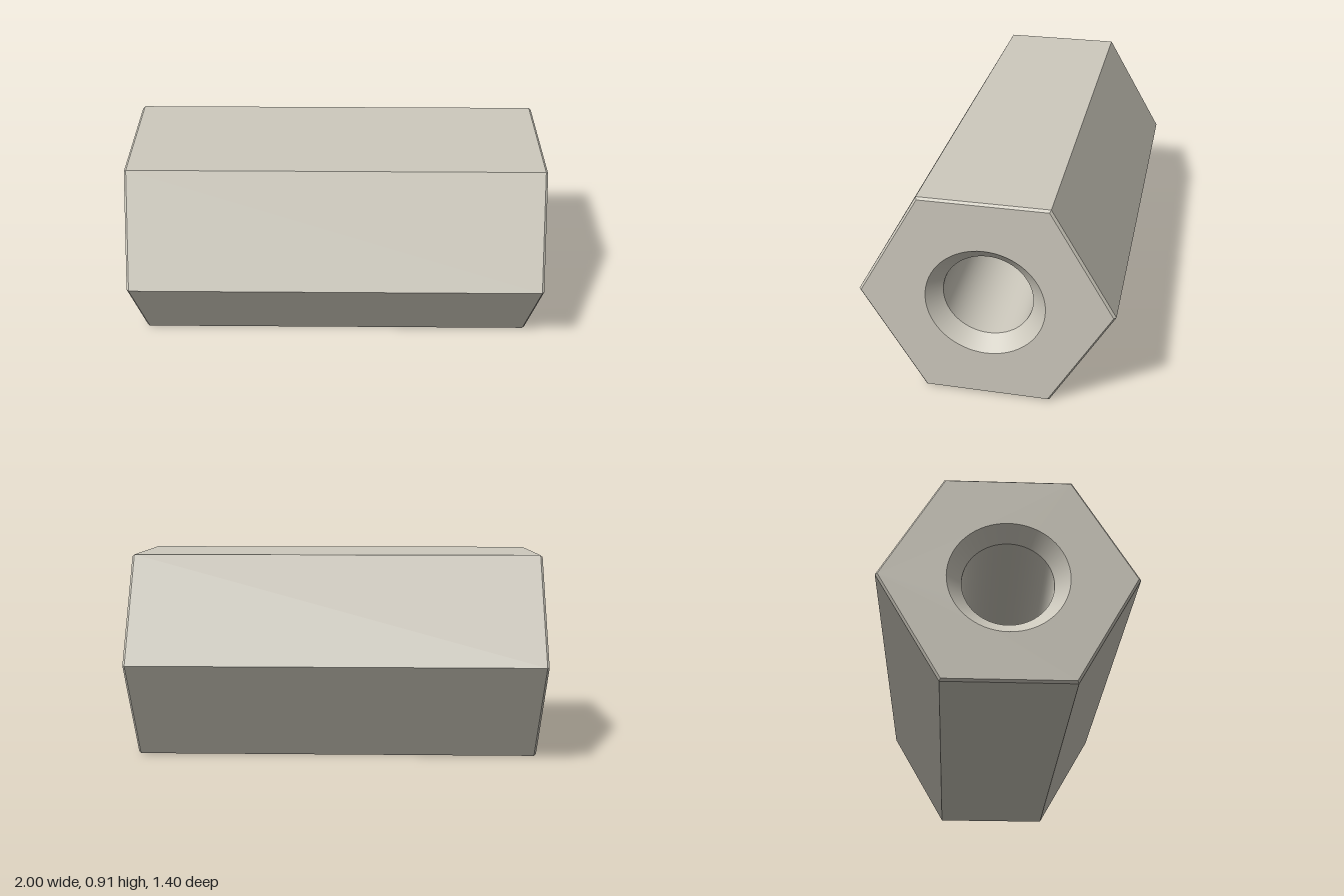
import * as THREE from 'three';

const R = 0.528;        // hexagon corner radius
const HALF = 0.911;     // half length
const CHAMFER = 0.01;   // bevel on the outer end edges
const BORE = 0.187;     // through hole radius
const SINK = 0.247;     // countersink radius at the end face
const DEPTH = 0.06;     // countersink depth

export function createModel() {
  const metal = new THREE.MeshStandardMaterial({ color: 0xcdc9bd });
  metal.name = 'warm grey metal';

  const spacer = new THREE.Group();
  spacer.name = 'hexSpacer';
  const add = (geometry, name) => {
    const mesh = new THREE.Mesh(geometry, metal);
    mesh.name = name;
    spacer.add(mesh);
  };

  // Six-sided open band along x, with crisp flat faces
  const hexBand = (rPlus, rMinus, length, x) => {
    const g = new THREE.CylinderGeometry(rPlus, rMinus, length, 6, 1, true).toNonIndexed();
    g.computeVertexNormals();
    return g.rotateZ(-Math.PI / 2).translate(x, 0, 0);
  };

  // Inward-facing round band from x0 (radius r0) down to x1 (radius r1)
  const innerBand = (r0, x0, r1, x1) =>
    new THREE.LatheGeometry([new THREE.Vector2(r0, x0), new THREE.Vector2(r1, x1)], 64)
      .rotateZ(-Math.PI / 2);

  // Outer sides and bore
  add(hexBand(R, R, 2 * (HALF - CHAMFER), 0), 'hexSides');
  add(innerBand(BORE, HALF - DEPTH, BORE, DEPTH - HALF), 'bore');

  // Hexagonal end face with a round opening
  const inner = R - CHAMFER;
  const face = new THREE.Shape();
  for (let i = 0; i < 6; i++) {
    const a = (i * Math.PI) / 3;
    face[i ? 'lineTo' : 'moveTo'](inner * Math.cos(a), inner * Math.sin(a));
  }
  face.closePath();
  face.holes.push(new THREE.Path().absarc(0, 0, SINK, 0, Math.PI * 2, true));

  for (const [side, label] of [[1, 'left'], [-1, 'right']]) {
    add(new THREE.ShapeGeometry(face, 32).rotateY((side * Math.PI) / 2)
      .translate(side * HALF, 0, 0), label + 'EndFace');
    add(hexBand(side > 0 ? inner : R, side > 0 ? R : inner, CHAMFER,
      side * (HALF - CHAMFER / 2)), label + 'Chamfer');
    add(side > 0 ? innerBand(SINK, HALF, BORE, HALF - DEPTH)
      : innerBand(BORE, DEPTH - HALF, SINK, -HALF), label + 'Countersink');
  }

  // Lies on a flat, turned slightly about the vertical
  spacer.rotation.y = -0.206;
  spacer.position.y = R * Math.sqrt(3) / 2;

  const model = new THREE.Group();
  model.name = 'model';
  model.add(spacer);
  return model;
}
